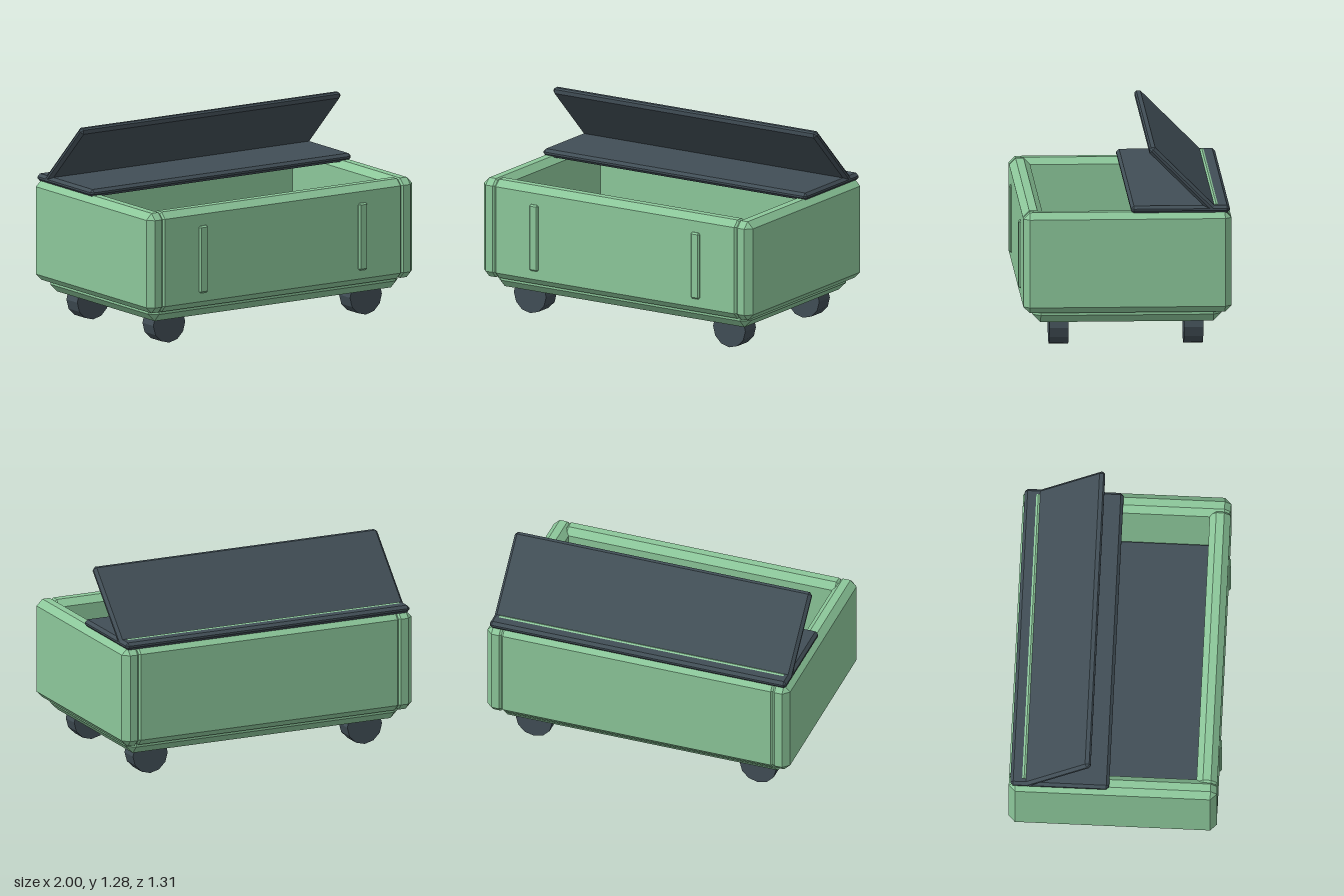
import * as THREE from 'three';
import { ConvexGeometry } from 'three/addons/geometries/ConvexGeometry.js';

const green = new THREE.MeshStandardMaterial({ color: 0x8cc79a, flatShading: true });
const dark = new THREE.MeshStandardMaterial({ color: 0x414e56, flatShading: true });

// Box with every edge cut at 45 degrees by c
function chamferBox(w, h, d, c) {
  const pts = [];
  for (const sx of [-1, 1]) for (const sy of [-1, 1]) for (const sz of [-1, 1]) {
    const x = w / 2, y = h / 2, z = d / 2;
    pts.push(new THREE.Vector3(sx * x, sy * (y - c), sz * (z - c)));
    pts.push(new THREE.Vector3(sx * (x - c), sy * y, sz * (z - c)));
    pts.push(new THREE.Vector3(sx * (x - c), sy * (y - c), sz * z));
  }
  return new ConvexGeometry(pts);
}

export function createModel() {
  const model = new THREE.Group();
  model.name = 'wheeledBin';

  const add = (name, geometry, material, x, y, z) => {
    const mesh = new THREE.Mesh(geometry, material);
    mesh.name = name;
    mesh.position.set(x, y, z);
    model.add(mesh);
    return mesh;
  };
  // Chamfered block given by its limits on each axis
  const block = (name, [x0, x1], [y0, y1], [z0, z1], c, material) =>
    add(name, chamferBox(x1 - x0, y1 - y0, z1 - z0, c), material,
      (x0 + x1) / 2, (y0 + y1) / 2, (z0 + z1) / 2);

  // Base and inner floor
  block('base', [-0.94, 0.94], [0.165, 0.3], [-0.595, 0.58], 0.05, green);
  block('innerFloor', [-0.88, 0.88], [0.22, 0.32], [-0.54, 0.525], 0.015, dark);

  // Four walls with notched corners
  const wallY = [0.235, 0.87];
  block('leftWall', [0.87, 1], wallY, [-0.655, 0.64], 0.04, green);
  block('rightWall', [-1, -0.87], wallY, [-0.655, 0.64], 0.04, green);
  block('frontWall', [-0.925, 0.925], wallY, [0.51, 0.64], 0.04, green);
  block('backWall', [-0.925, 0.925], wallY, [-0.655, -0.525], 0.04, green);

  // Grip bars and wheels
  const wheel = new THREE.CylinderGeometry(0.12, 0.12, 0.12, 12).rotateX(Math.PI / 2);
  for (const s of [-1, 1]) {
    block('gripBar', [s * 0.6 - 0.032, s * 0.6 + 0.032], [0.33, 0.757], [0.61, 0.655], 0.01, green);
    add('frontWheel', wheel, dark, s * 0.74, 0.12, 0.413);
    add('backWheel', wheel, dark, s * 0.74, 0.12, -0.425);
  }

  // Flat half lid, raised lid and hinge rod
  block('flatLid', [-0.98, 0.98], [0.86, 0.908], [-0.645, -0.03], 0.018, dark);
  const raised = add('raisedLid', chamferBox(1.96, 0.05, 0.57, 0.018), dark, 0, 1.07, -0.351);
  raised.rotation.x = -Math.PI / 4;
  add('hingeRod', new THREE.CylinderGeometry(0.02, 0.02, 1.88, 8).rotateZ(Math.PI / 2),
    green, 0, 0.893, -0.56);

  return model;
}
